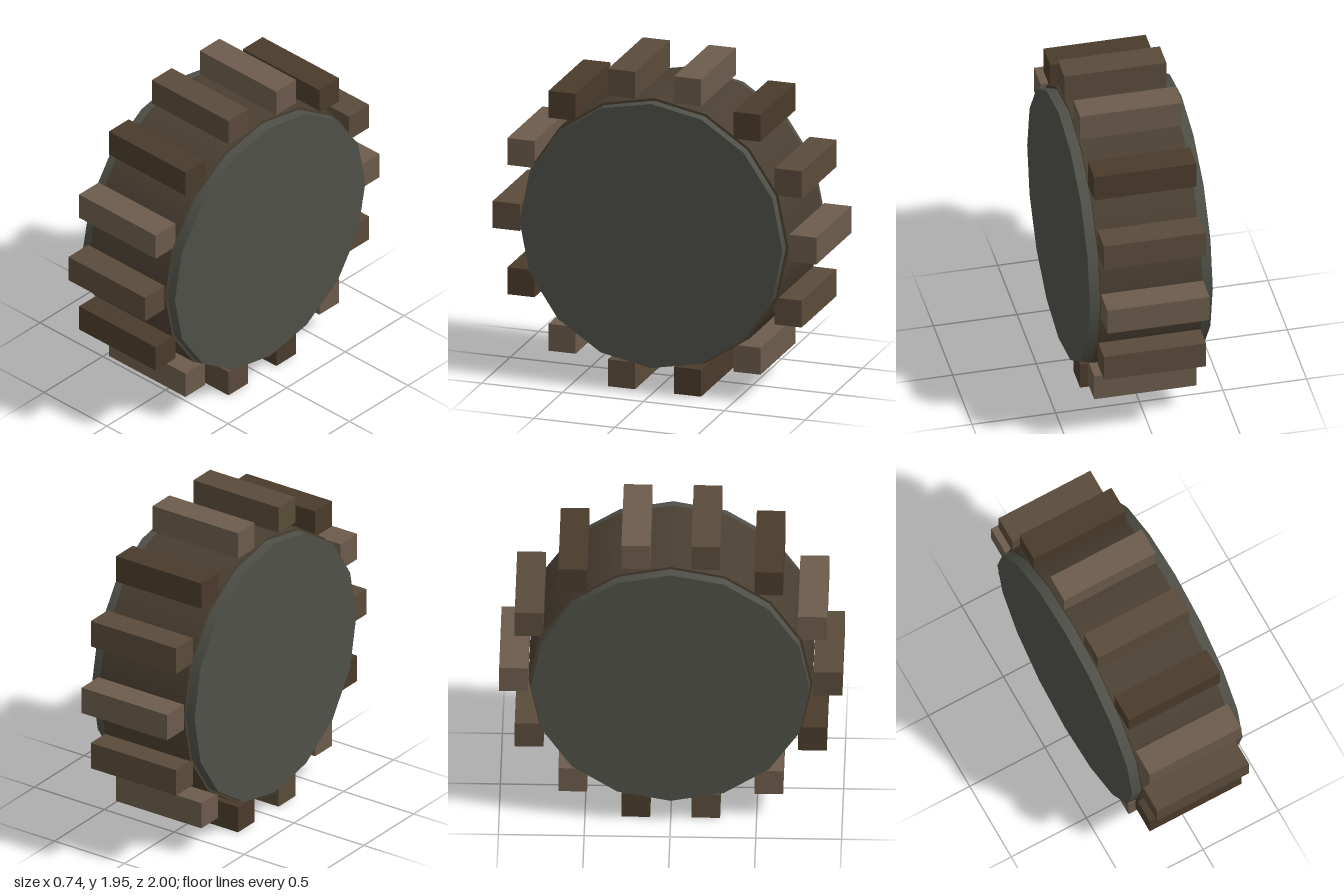
import * as THREE from 'three';

const CENTRE_Y = 0.975;
const mat = (color) => new THREE.MeshStandardMaterial({ color });

// 16-sided drum lying along x, with a corner pointing straight up
function drum(name, radius, length, material) {
  const geo = new THREE.CylinderGeometry(radius, radius, length, 16);
  geo.rotateZ(Math.PI / 2);
  const mesh = new THREE.Mesh(geo, material);
  mesh.name = name;
  mesh.position.y = CENTRE_Y;
  return mesh;
}

export function createModel() {
  const group = new THREE.Group();
  group.name = 'paddedWheel';

  // Wide core whose ends show as hub discs, and the slightly larger drum around it
  group.add(drum('hubCore', 0.812, 0.735, mat(0x4e5048)));
  group.add(drum('wheelBody', 0.828, 0.61, mat(0x4a3f32)));

  // Upright square blocks around the rim, in three repeating browns
  const browns = [0x6b5b4b, 0x5a4b3a, 0x4a3b2b].map(mat);
  const blockGeo = new THREE.BoxGeometry(0.61, 0.165, 0.168);
  const treads = new THREE.Group();
  treads.name = 'treadBlocks';
  const count = 14, radius = 0.916;
  for (let i = 0; i < count; i++) {
    const a = (i / count) * Math.PI * 2;
    const block = new THREE.Mesh(blockGeo, browns[i % 3]);
    block.name = `treadBlock${i + 1}`;
    block.position.set(0, CENTRE_Y + Math.sin(a) * radius, -Math.cos(a) * radius);
    treads.add(block);
  }
  group.add(treads);
  return group;
}
